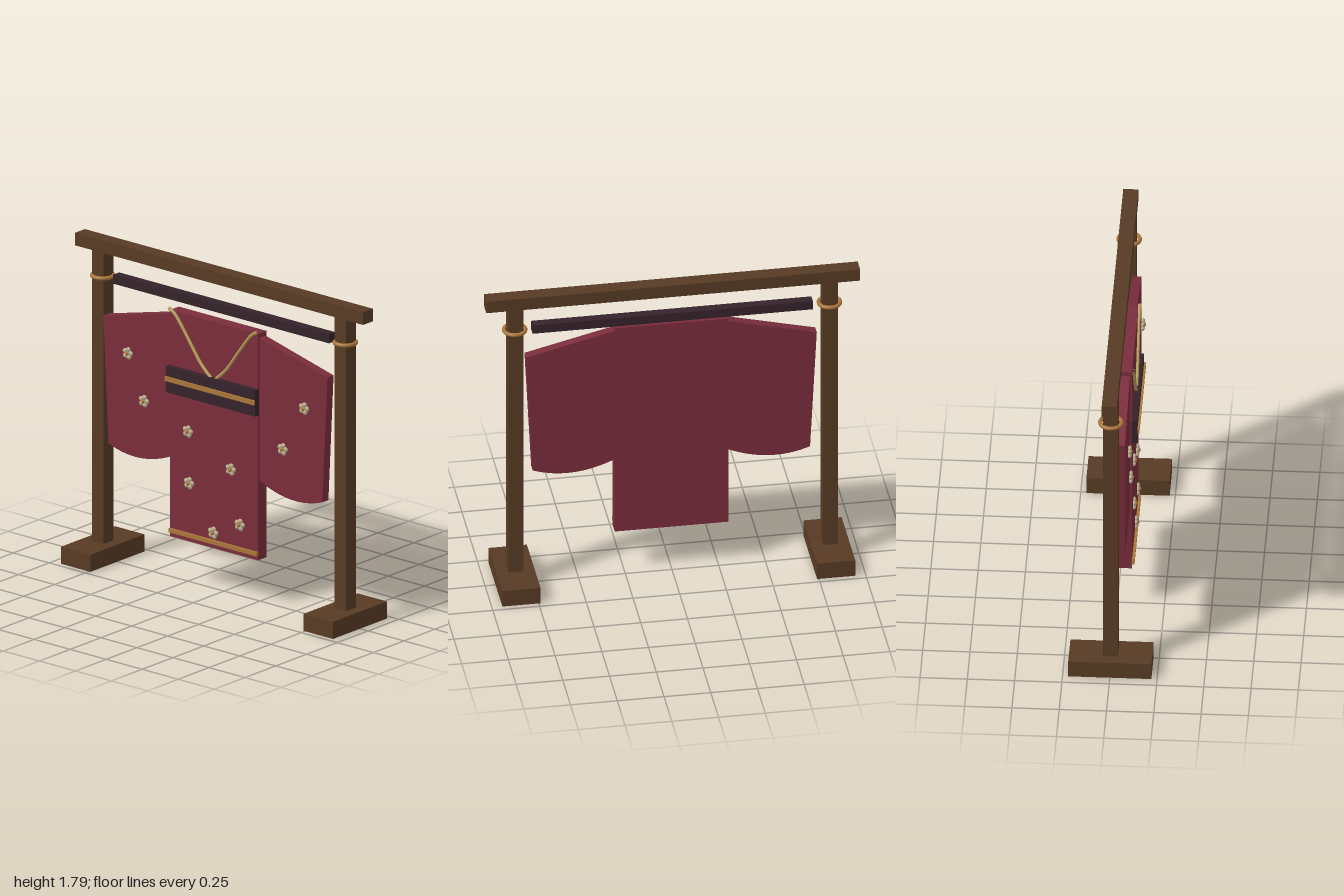
import * as THREE from 'three';

const material = (name, color) => {
  const m = new THREE.MeshStandardMaterial({ color });
  m.name = name;
  return m;
};

export function createModel() {
  const wood = material('brown wood', 0x573b24);
  const darkWood = material('dark lacquer', 0x35232a);
  const wine = material('wine cloth', 0x7a2d3c);
  const sash = material('dark sash', 0x35222a);
  const copper = material('copper gold', 0xaa7639);
  const gold = material('pale gold', 0xb59c55);
  const petalMat = material('petal beige', 0xb8ab8a);

  const model = new THREE.Group();
  model.name = 'robeOnStand';

  const add = (parent, name, geometry, mat, x = 0, y = 0, z = 0) => {
    const mesh = new THREE.Mesh(geometry, mat);
    mesh.name = name;
    mesh.position.set(x, y, z);
    parent.add(mesh);
    return mesh;
  };
  // Box given by its low and high limits
  const box = (parent, name, mat, [x0, x1], [y0, y1], [z0, z1]) =>
    add(parent, name, new THREE.BoxGeometry(x1 - x0, y1 - y0, z1 - z0), mat,
      (x0 + x1) / 2, (y0 + y1) / 2, (z0 + z1) / 2);

  // Stand
  const stand = new THREE.Group();
  stand.name = 'stand';
  model.add(stand);
  box(stand, 'topBeam', wood, [-1, 1], [1.717, 1.787], [-0.04, 0.04]);
  box(stand, 'hangingBar', darkWood, [-0.75, 0.75], [1.555, 1.605], [-0.025, 0.025]);
  for (const s of [-1, 1]) {
    const side = s > 0 ? 'left' : 'right';
    const x = s * 0.842;
    box(stand, side + 'Foot', wood, [x - 0.102, x + 0.102], [0, 0.095], [-0.22, 0.22]);
    box(stand, side + 'Post', wood, [x - 0.04, x + 0.04], [0.095, 1.717], [-0.04, 0.04]);
    const ring = add(stand, side + 'Ring', new THREE.TorusGeometry(0.057, 0.011, 10, 32), copper, x, 1.576, 0);
    ring.rotation.x = Math.PI / 2;
  }

  // Robe
  const robe = new THREE.Group();
  robe.name = 'robe';
  model.add(robe);
  box(robe, 'body', wine, [-0.305, 0.305], [0.26, 1.522], [0.01, 0.08]);

  for (const s of [-1, 1]) {
    const side = s > 0 ? 'left' : 'right';
    // Sleeve with a sloped shoulder and rounded lower edge
    const shape = new THREE.Shape();
    shape.moveTo(s * 0.3, 1.5);
    shape.lineTo(s * 0.778, 1.382);
    shape.lineTo(s * 0.742, 0.678);
    shape.quadraticCurveTo(s * 0.53, 0.598, s * 0.3, 0.705);
    shape.closePath();
    add(robe, side + 'Sleeve',
      new THREE.ExtrudeGeometry(shape, { depth: 0.05, bevelEnabled: false, curveSegments: 16 }),
      wine, 0, 0, 0.02);

    // Collar edging
    const curve = new THREE.CatmullRomCurve3([
      [0.308, 1.535], [0.265, 1.508], [0.18, 1.4], [0.085, 1.272], [0.012, 1.205],
    ].map(([x, y]) => new THREE.Vector3(s * x, y, 0.087)));
    add(robe, side + 'Collar', new THREE.TubeGeometry(curve, 32, 0.009, 8), gold);
  }

  // Sash and hem
  box(robe, 'sash', sash, [-0.31, 0.31], [1.07, 1.215], [0.078, 0.11]);
  box(robe, 'sashCord', copper, [-0.31, 0.31], [1.135, 1.16], [0.105, 0.12]);
  box(robe, 'hemBand', copper, [-0.305, 0.305], [0.285, 0.307], [0.078, 0.094]);

  // Blossoms
  const petal = new THREE.SphereGeometry(0.0145, 12, 8);
  const heart = new THREE.SphereGeometry(0.011, 12, 8);
  const blossoms = [
    [-0.595, 1.217], [-0.483, 0.975], [-0.178, 0.873], [0.12, 0.727], [-0.17, 0.587],
    [0.182, 0.432], [-0.002, 0.347], [0.628, 1.18], [0.48, 0.92],
  ];
  blossoms.forEach(([x, y], i) => {
    const flower = new THREE.Group();
    flower.name = 'blossom' + (i + 1);
    flower.position.set(x, y, 0.086);
    for (let k = 0; k < 5; k++) {
      const a = k * Math.PI * 0.4 + 0.1;
      add(flower, 'petal', petal, petalMat, 0.021 * Math.cos(a), 0.021 * Math.sin(a), 0).scale.z = 0.7;
    }
    add(flower, 'flowerHeart', heart, copper, 0, 0, 0.006);
    robe.add(flower);
  });

  return model;
}
